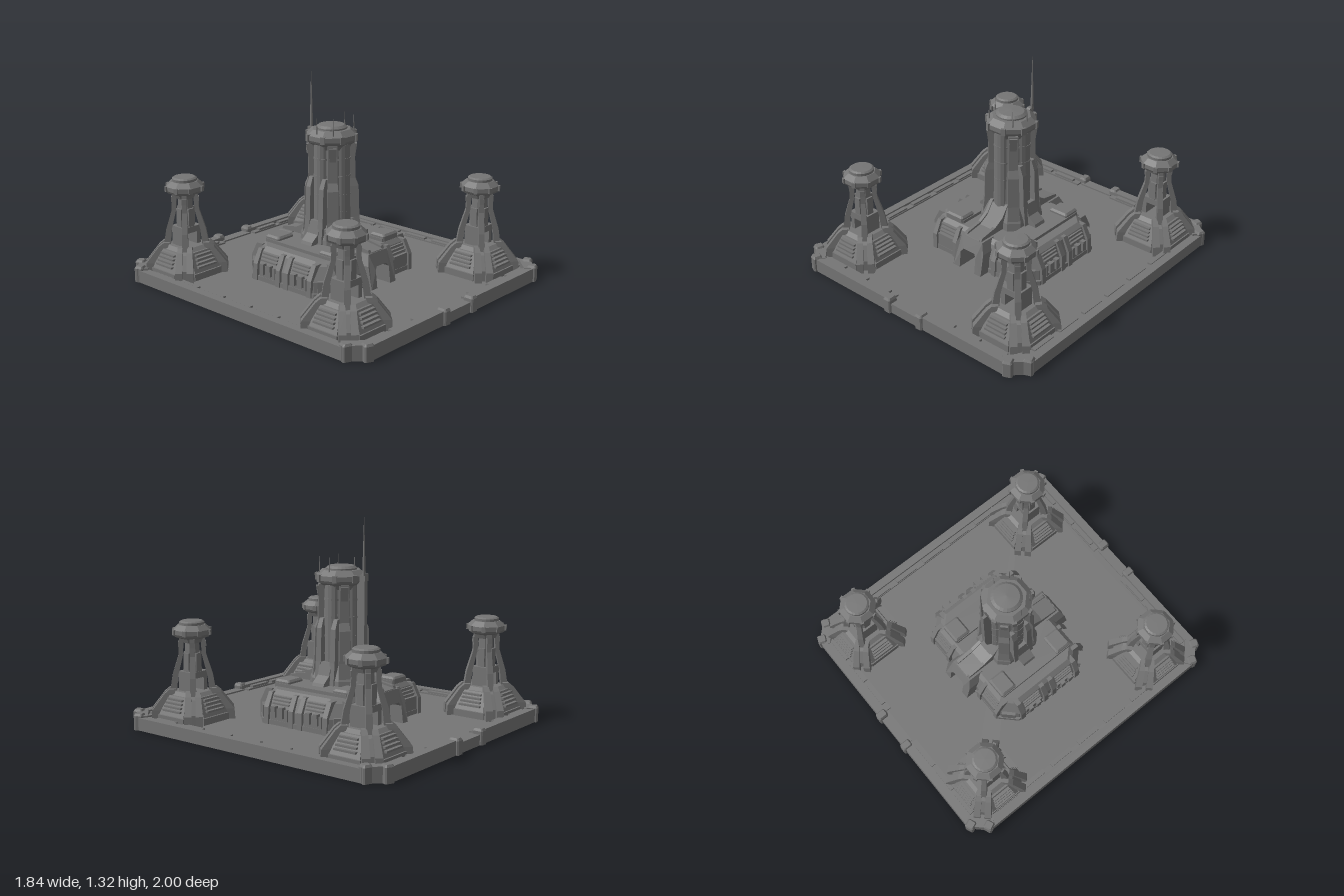
import * as THREE from 'three';

const stone = new THREE.MeshStandardMaterial({ color: 0x757575 });
stone.name = 'dark grey plating';

// Adds a faceted mesh to a parent
function add(parent, name, geo, x = 0, y = 0, z = 0, ry = 0) {
  const g = geo.index ? geo.toNonIndexed() : geo;
  g.computeVertexNormals();
  const m = new THREE.Mesh(g, stone);
  m.name = name;
  m.position.set(x, y, z);
  m.rotation.y = ry;
  parent.add(m);
  return m;
}
const box = (w, h, d) => new THREE.BoxGeometry(w, h, d);
function group(parent, name, x = 0, z = 0, ry = 0) {
  const g = new THREE.Group();
  g.name = name;
  g.position.set(x, 0, z);
  g.rotation.y = ry;
  parent.add(g);
  return g;
}

// Solid through convex cross-sections: levels are [y, [[x, z], ...]]
function loft(levels) {
  const p = [];
  const put = (l, i) => p.push(l[1][i][0], l[0], l[1][i][1]);
  const n = levels[0][1].length;
  for (let k = 0; k + 1 < levels.length; k++) {
    const a = levels[k], b = levels[k + 1];
    for (let i = 0; i < n; i++) {
      const j = (i + 1) % n;
      put(a, i); put(a, j); put(b, j);
      put(a, i); put(b, j); put(b, i);
    }
  }
  const first = levels[0], last = levels[levels.length - 1];
  for (let i = 1; i + 1 < n; i++) {
    put(last, 0); put(last, i); put(last, i + 1);
    put(first, 0); put(first, i + 1); put(first, i);
  }
  const g = new THREE.BufferGeometry();
  g.setAttribute('position', new THREE.Float32BufferAttribute(p, 3));
  return g;
}
// Rectangle with cut corners
const oct = (hx, hz, c) => [[hx, hz - c], [hx, c - hz], [hx - c, -hz], [c - hx, -hz],
  [-hx, c - hz], [-hx, hz - c], [c - hx, hz], [hx - c, hz]];
const rect = (x, z, hx, hz) => [[x + hx, z + hz], [x + hx, z - hz], [x - hx, z - hz], [x - hx, z + hz]];
// Eight-sided (or more) turned solid from [radius, y] points
const turned = (pts, n) => new THREE.LatheGeometry(pts.map(([r, y]) => new THREE.Vector2(r, y)), n, Math.PI / n);
// Side profile in (z, y), extruded across x
function rib(pts, width) {
  const g = new THREE.ExtrudeGeometry(new THREE.Shape(pts.map(([z, y]) => new THREE.Vector2(z, y))),
    { depth: width, bevelEnabled: false });
  return g.rotateY(-Math.PI / 2).translate(width / 2, 0, 0);
}

function buildPlatform(root) {
  const g = group(root, 'platform');
  add(g, 'floorSlab', loft([[0, oct(0.905, 0.98, 0.11)], [0.055, oct(0.905, 0.98, 0.11)]]));
  for (const s of [-1, 1]) {
    // Side walls with inner trim and top caps
    add(g, 'sideWall', box(0.055, 0.08, 1.74), s * 0.88, 0.04, 0);
    add(g, 'sideWallStep', box(0.05, 0.065, 1.7), s * 0.835, 0.0325, 0);
    for (let i = 0; i < 7; i++)
      add(g, 'sideTrim', box(0.03, 0.02, 0.17), s * 0.83, 0.066, -0.69 + i * 0.23);
    // End walls, lower in the middle, with a post each side of the entrance
    add(g, 'entranceSill', box(0.25, 0.065, 0.07), 0, 0.0325, s * 0.95);
    for (const t of [-1, 1]) {
      add(g, 'endWall', box(0.68, 0.088, 0.055), t * 0.47, 0.044, s * 0.958);
      add(g, 'endWallStep', box(0.66, 0.066, 0.05), t * 0.47, 0.033, s * 0.915);
      for (let i = 0; i < 3; i++)
        add(g, 'endTrim', box(0.16, 0.02, 0.03), t * (0.27 + i * 0.2), 0.07, s * 0.91);
      add(g, 'entrancePost', loft([[0, oct(0.028, 0.035, 0.008)], [0.085, oct(0.028, 0.035, 0.008)],
        [0.1, oct(0.02, 0.026, 0.006)]]), t * 0.132, 0, s * 0.965);
      // Chamfered corners
      const a = Math.atan2(t, s);
      add(g, 'cornerWall', box(0.17, 0.092, 0.07), t * 0.83, 0.046, s * 0.905, a);
      add(g, 'cornerPost', loft([[0, oct(0.03, 0.03, 0.008)], [0.09, oct(0.03, 0.03, 0.008)],
        [0.104, oct(0.022, 0.022, 0.006)]]), t * 0.805, 0, s * 0.962, a / 2);
      add(g, 'cornerPost', loft([[0, oct(0.03, 0.03, 0.008)], [0.09, oct(0.03, 0.03, 0.008)],
        [0.104, oct(0.022, 0.022, 0.006)]]), t * 0.882, 0, s * 0.875, a / 2);
    }
  }
}

function buildWatchtower(root, x, z) {
  const g = group(root, 'watchtower', x, z);
  add(g, 'towerBase', loft([[0.05, oct(0.185, 0.185, 0.05)], [0.12, oct(0.182, 0.182, 0.05)],
    [0.205, oct(0.138, 0.138, 0.04)], [0.235, oct(0.1, 0.1, 0.03)]]));
  for (let k = 0; k < 4; k++) {
    const side = group(g, 'towerSide', 0, 0, k * Math.PI / 2);
    // Plinth and louvred panel
    add(side, 'plinth', box(0.22, 0.045, 0.03), 0, 0.075, 0.185);
    add(side, 'panelFrame', loft([[0.1, rect(0, 0.16, 0.105, 0.034)], [0.215, rect(0, 0.11, 0.08, 0.028)]]));
    for (let i = 0; i < 4; i++)
      add(side, 'louvre', box(0.15 - i * 0.008, 0.012, 0.03), 0, 0.132 + i * 0.022, 0.182 - i * 0.011);
    // Corner buttress and bowed leg
    const corner = group(side, 'towerCorner', 0, 0, Math.PI / 4);
    for (const s of [-1, 1])
      add(corner, 'buttress', loft([[0.05, rect(s * 0.035, 0.225, 0.022, 0.035)],
        [0.12, rect(s * 0.035, 0.22, 0.022, 0.035)], [0.225, rect(s * 0.03, 0.145, 0.018, 0.03)],
        [0.25, rect(s * 0.03, 0.125, 0.015, 0.02)]]));
    add(corner, 'leg', loft([[0.2, rect(0, 0.125, 0.02, 0.022)], [0.33, rect(0, 0.108, 0.018, 0.018)],
      [0.46, rect(0, 0.072, 0.015, 0.014)], [0.57, rect(0, 0.066, 0.015, 0.014)]]));
    add(corner, 'legBrace', box(0.03, 0.035, 0.03), 0, 0.53, 0.072);
    add(side, 'corePanel', box(0.045, 0.13, 0.014), 0, 0.41, 0.05);
  }
  // Core above an open passage
  for (const s of [-1, 1]) add(g, 'passageWall', box(0.03, 0.11, 0.11), s * 0.055, 0.275, 0);
  add(g, 'passageLintel', box(0.14, 0.04, 0.12), 0, 0.338, 0);
  add(g, 'core', turned([[0, 0.32], [0.062, 0.32], [0.05, 0.45], [0.045, 0.57], [0, 0.57]], 8));
  add(g, 'head', turned([[0, 0.54], [0.06, 0.54], [0.072, 0.565], [0.112, 0.58], [0.122, 0.595],
    [0.122, 0.622], [0.088, 0.652], [0, 0.654]], 8));
  add(g, 'headCap', turned([[0.078, 0.65], [0.078, 0.668], [0.066, 0.676], [0, 0.677]], 20));
  for (let i = 0; i < 8; i++) {
    const a = i * Math.PI / 4 + Math.PI / 8;
    add(g, 'headClamp', box(0.024, 0.034, 0.02), Math.sin(a) * 0.117, 0.608, Math.cos(a) * 0.117, a);
  }
}

function buildHall(g) {
  // Two hall wings either side of a through passage
  const wing = (hx, hz, c) => [[hx, hz - c], [hx, c - hz], [hx - c, -hz], [0.065, -hz], [0.065, hz], [hx - c, hz]];
  add(g, 'passageRoof', box(0.14, 0.075, 0.62), 0, 0.2225, 0);
  for (const r of [0, Math.PI]) {
    const w = group(g, 'wing', 0, 0, r);
    add(w, 'wingBody', loft([[0.05, wing(0.445, 0.355, 0.1)], [0.15, wing(0.44, 0.35, 0.1)],
      [0.235, wing(0.405, 0.315, 0.09)], [0.26, wing(0.375, 0.29, 0.08)]]));
    add(w, 'wingFoot', loft([[0.05, wing(0.455, 0.365, 0.1)], [0.085, wing(0.455, 0.365, 0.1)]]));
    // Roof plates and hatches
    add(w, 'roofPlate', box(0.15, 0.025, 0.56), 0.24, 0.268, 0);
    for (const s of [-1, 1]) {
      add(w, 'roofHatch', loft([[0.26, oct(0.07, 0.058, 0.008)], [0.292, oct(0.07, 0.058, 0.008)],
        [0.304, oct(0.058, 0.047, 0.008)]]), 0.24, 0, s * 0.23);
      // End facade panels and pillars
      add(w, 'facadePanel', box(0.13, 0.09, 0.02), 0.25, 0.125, s * 0.352);
      for (const x of [0.165, 0.335])
        add(w, 'facadePillar', loft([[0.05, rect(x, s * 0.345, 0.016, 0.03)], [0.16, rect(x, s * 0.342, 0.016, 0.03)],
          [0.25, rect(x, s * 0.3, 0.014, 0.025)]]));
      for (let i = 0; i < 3; i++)
        add(w, 'facadeSlat', box(0.13, 0.01, 0.02), 0.25, 0.185 + i * 0.02, s * (0.338 - i * 0.009));
      // Side pillars, windows and boxes
      for (const z of [0.035, 0.23])
        add(w, 'sidePillar', loft([[0.05, rect(0.435, s * z, 0.028, 0.018)], [0.16, rect(0.43, s * z, 0.028, 0.018)],
          [0.25, rect(0.387, s * z, 0.025, 0.016)]]));
      add(w, 'sidePanel', box(0.02, 0.08, 0.13), 0.442, 0.12, s * 0.133);
      for (let i = 0; i < 3; i++)
        add(w, 'sideSlat', box(0.02, 0.01, 0.13), 0.427 - i * 0.009, 0.185 + i * 0.02, s * 0.133);
      for (const z of [0.105, 0.165])
        add(w, 'sideBox', box(0.03, 0.07, 0.03), 0.455, 0.14, s * z);
      add(w, 'cornerPanel', box(0.09, 0.1, 0.02), 0.394, 0.11, s * 0.305, s * Math.PI / 4);
    }
    // Gate: arched frame with a sloped face
    const arch = new THREE.Shape([[-0.115, 0.05], [-0.062, 0.05], [-0.062, 0.165], [-0.045, 0.187], [0.045, 0.187],
      [0.062, 0.165], [0.062, 0.05], [0.115, 0.05], [0.115, 0.2], [0.085, 0.265], [-0.085, 0.265], [-0.115, 0.2]]
      .map(([x, y]) => new THREE.Vector2(x, y)));
    const frame = new THREE.ExtrudeGeometry(arch, { depth: 0.16, bevelEnabled: false });
    const p = frame.attributes.position;
    for (let i = 0; i < p.count; i++)
      if (p.getZ(i) > 0.1) p.setZ(i, 0.16 - Math.max(0, p.getY(i) - 0.13) * 0.4);
    add(w, 'gateFrame', frame, 0, 0, 0.275);
    // Flared buttress climbing from the gate to the keep
    const flare = [[0, 0.25], [0.385, 0.25], [0.375, 0.27], [0.25, 0.29], [0.18, 0.33], [0.13, 0.4], [0, 0.4]];
    add(w, 'gateRamp', rib(flare, 0.11));
    for (const s of [-1, 1])
      add(w, 'rampRail', rib(flare.map(([z, y]) => [z * 0.97, y + 0.015]), 0.022), s * 0.06);
    // Shorter buttress over the wing
    add(w, 'wingButtress', rib([[0, 0.25], [0.25, 0.25], [0.23, 0.3], [0.18, 0.34], [0.16, 0.42], [0, 0.42]], 0.09),
      0, 0, 0, Math.PI / 2);
  }
}

function buildKeep(g) {
  add(g, 'keepBase', loft([[0.25, oct(0.17, 0.17, 0.06)], [0.31, oct(0.165, 0.165, 0.06)], [0.4, oct(0.13, 0.13, 0.05)]]));
  add(g, 'keepShaft', turned([[0.13, 0.3], [0.122, 0.6], [0.118, 0.9]], 12));
  for (let k = 0; k < 4; k++) {
    const side = group(g, 'keepSide', 0, 0, k * Math.PI / 2);
    // Rounded centre column with bands
    add(side, 'centreColumn', new THREE.CylinderGeometry(0.056, 0.06, 0.52, 16), 0, 0.64, 0.078);
    for (const y of [0.47, 0.58, 0.7, 0.81])
      add(side, 'columnBand', new THREE.CylinderGeometry(0.06, 0.06, 0.012, 16), 0, y, 0.078);
    // Corner pilasters, thicker below
    const c = group(side, 'keepCorner', 0, 0, Math.PI / 4);
    add(c, 'pilaster', loft([[0.28, rect(0, 0.15, 0.04, 0.04)], [0.42, rect(0, 0.14, 0.036, 0.034)],
      [0.62, rect(0, 0.138, 0.034, 0.03)], [0.67, rect(0, 0.122, 0.03, 0.026)], [0.9, rect(0, 0.118, 0.03, 0.026)]]));
    add(c, 'bracket', loft([[0.8, rect(0, 0.12, 0.02, 0.025)], [0.89, rect(0, 0.133, 0.024, 0.025)]]));
  }
  for (const s of [-1, 1])
    for (const z of [-0.055, 0.055])
      add(g, 'sideStrut', loft([[0.27, rect(s * 0.15, z, 0.03, 0.02)], [0.42, rect(s * 0.135, z, 0.03, 0.02)],
        [0.63, rect(s * 0.13, z, 0.025, 0.018)], [0.69, rect(s * 0.11, z, 0.02, 0.015)]]));
  add(g, 'keepHead', turned([[0, 0.86], [0.118, 0.87], [0.132, 0.895], [0.156, 0.91], [0.165, 0.925],
    [0.165, 0.955], [0.125, 0.988], [0, 0.99]], 8));
  add(g, 'keepDome', turned([[0.098, 0.98], [0.098, 0.998], [0.08, 1.012], [0, 1.018]], 24));
  for (let i = 0; i < 8; i++) {
    const a = i * Math.PI / 4 + Math.PI / 8;
    add(g, 'headClamp', box(0.03, 0.045, 0.025), Math.sin(a) * 0.157, 0.94, Math.cos(a) * 0.157, a);
  }
  // Rear fin carrying the tall mast
  add(g, 'rearFin', rib([[-0.1, 0.41], [-0.14, 0.41], [-0.175, 0.455], [-0.188, 0.52], [-0.192, 0.97], [-0.165, 0.97], [-0.1, 0.92]].reverse(), 0.03));
  add(g, 'tallMast', new THREE.CylinderGeometry(0.001, 0.011, 0.36, 8), 0.012, 1.14, -0.183);
  for (const [x, z] of [[-0.134, 0], [-0.095, 0.1], [0.095, 0.1], [0.122, 0]])
    add(g, 'shortMast', new THREE.CylinderGeometry(0.001, 0.006, 0.13, 6), x, 1.005, z);
}

export function createModel() {
  const root = new THREE.Group();
  root.name = 'fortress';
  buildPlatform(root);
  for (const [x, z] of [[-0.64, -0.7], [0.645, -0.7], [-0.65, 0.67], [0.615, 0.67]]) buildWatchtower(root, x, z);
  buildHall(group(root, 'hall', -0.012, -0.02));
  buildKeep(group(root, 'keep', -0.014, -0.02));
  return root;
}
